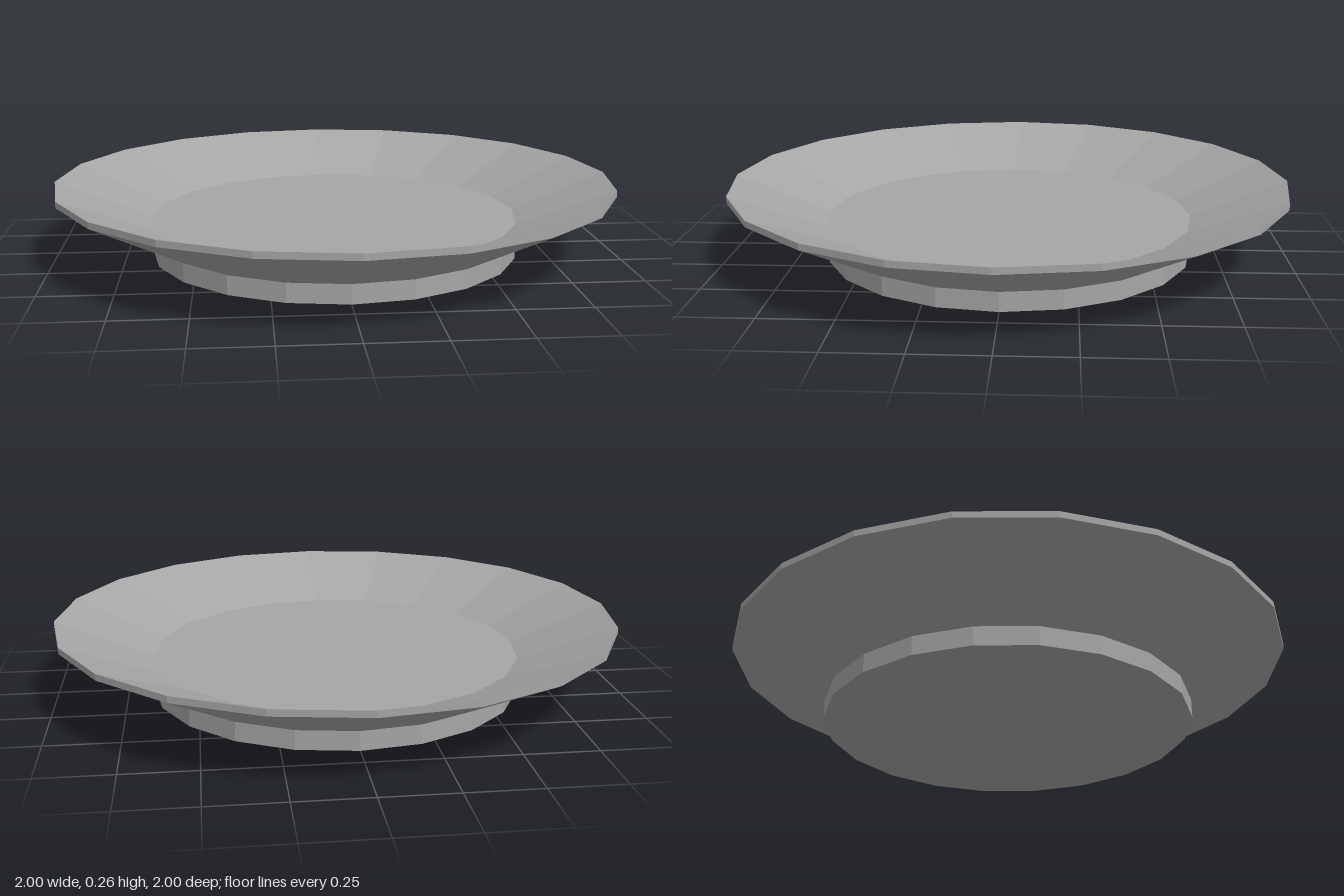
import * as THREE from 'three';

const SIDES = 20;
const BASE_R = 0.66, RIM_R = 1;
const FOOT_H = 0.067, FLOOR_Y = 0.13, LIP_Y = 0.243, RIM_Y = 0.265;

// Faceted ring swept from a short profile of [radius, height] pairs
function ring(profile) {
  const points = profile.map(([r, y]) => new THREE.Vector2(r, y));
  const geometry = new THREE.LatheGeometry(points, SIDES).toNonIndexed();
  geometry.computeVertexNormals();
  return geometry;
}

// Flat disc facing up (1) or down (-1)
function disc(y, facing) {
  return new THREE.CircleGeometry(BASE_R, SIDES)
    .rotateX(-facing * Math.PI / 2)
    .translate(0, y, 0);
}

export function createModel() {
  const group = new THREE.Group();
  group.name = 'plate';
  const grey = new THREE.MeshStandardMaterial({ color: 0xa6a6a6 });
  grey.name = 'grey';

  const add = (name, geometry) => {
    const mesh = new THREE.Mesh(geometry, grey);
    mesh.name = name;
    group.add(mesh);
  };

  // Straight foot with a closed underside
  add('foot', ring([[BASE_R, 0], [BASE_R, FOOT_H]]));
  add('underside', disc(0, -1));

  // Flared outside, thin upright rim and sloping inside
  add('outerWall', ring([[BASE_R, FOOT_H], [RIM_R, LIP_Y]]));
  add('rim', ring([[RIM_R, LIP_Y], [RIM_R, RIM_Y]]));
  add('innerWall', ring([[RIM_R, RIM_Y], [BASE_R, FLOOR_Y]]));

  // Flat eating surface
  add('floor', disc(FLOOR_Y, 1));

  return group;
}
